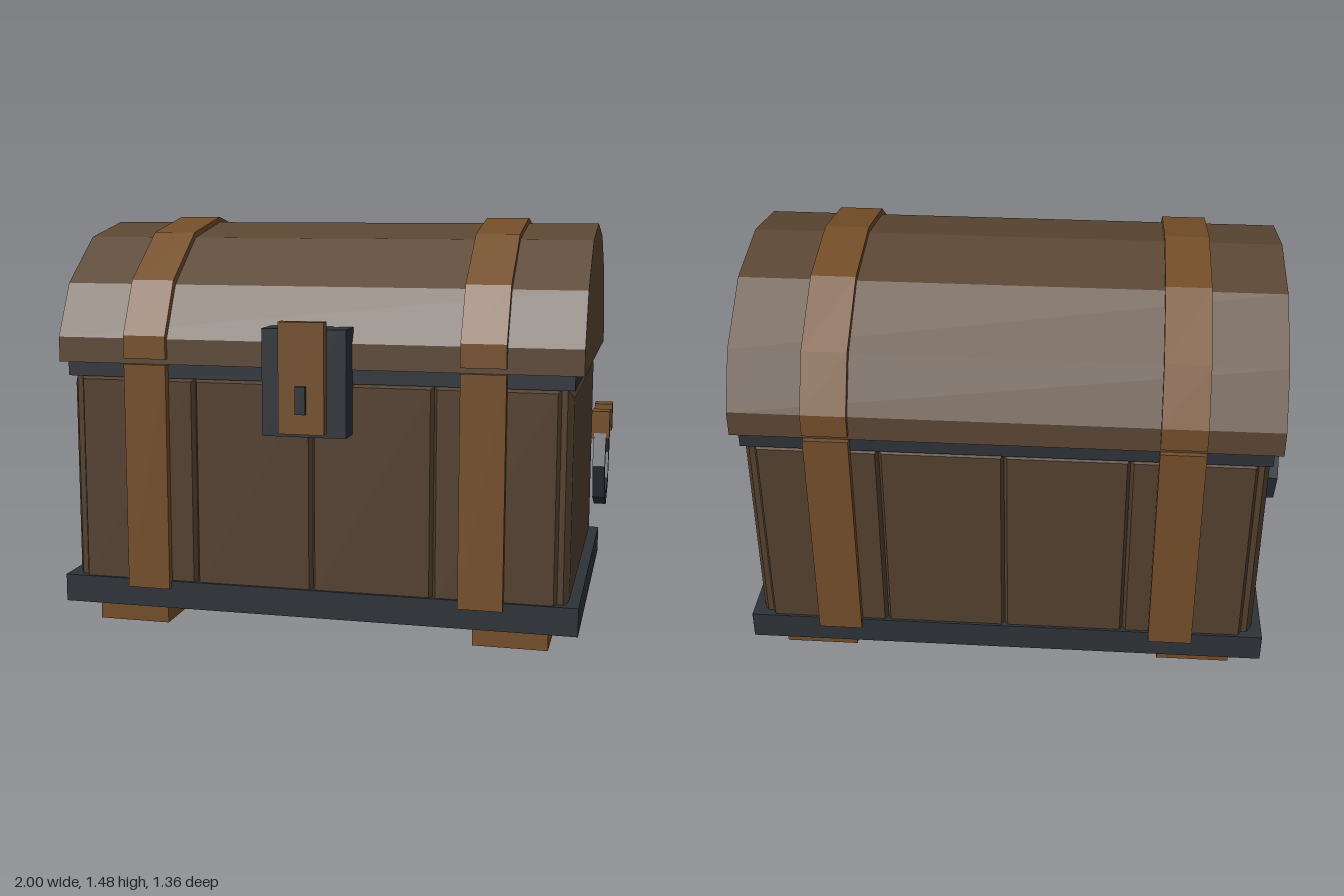
import * as THREE from 'three';

const mat = (color) => new THREE.MeshStandardMaterial({ color, flatShading: true });

export function createModel() {
  const root = new THREE.Group();
  root.name = 'chest';
  const chest = new THREE.Group();
  chest.name = 'chestBody';
  chest.position.z = -0.06; // the lock sticks out in front
  root.add(chest);

  const lidWood = mat(0x5a4633), wood = mat(0x523f2e), trim = mat(0x734d28), iron = mat(0x2d3238);

  const add = (name, geometry, material, x = 0, y = 0, z = 0, parent = chest) => {
    const mesh = new THREE.Mesh(geometry, material);
    mesh.name = name;
    mesh.position.set(x, y, z);
    parent.add(mesh);
    return mesh;
  };
  // Box given by its minimum and maximum corners
  const box = (name, material, [x0, y0, z0], [x1, y1, z1], parent) =>
    add(name, new THREE.BoxGeometry(x1 - x0, y1 - y0, z1 - z0), material,
      (x0 + x1) / 2, (y0 + y1) / 2, (z0 + z1) / 2, parent);

  // Board with chamfered edges, its front face at z = 0
  const board = (w, h, inset, chamfer) => {
    const a = w / 2 - inset, b = h / 2 - inset;
    const shape = new THREE.Shape([[-a, -b], [a, -b], [a, b], [-a, b]].map((p) => new THREE.Vector2(...p)));
    return new THREE.ExtrudeGeometry(shape, {
      depth: 0.02, bevelEnabled: true, bevelSegments: 1, bevelSize: inset, bevelThickness: chamfer,
    }).translate(0, 0, -0.02 - chamfer);
  };

  // Faceted arch, given as its right half, extruded along x
  const arch = (half, width) => {
    const pts = [...half, ...half.slice(0, -1).reverse().map(([z, y]) => [-z, y])];
    const shape = new THREE.Shape(pts.map((p) => new THREE.Vector2(...p)));
    return new THREE.ExtrudeGeometry(shape, { depth: width, bevelEnabled: false })
      .translate(0, 0, -width / 2).rotateY(Math.PI / 2);
  };

  // Base, rim and inner core
  box('base', iron, [-0.935, 0.08, -0.6], [0.935, 0.18, 0.6]);
  box('rim', iron, [-0.905, 0.92, -0.59], [0.905, 0.97, 0.59]);
  box('core', wood, [-0.865, 0.15, -0.57], [0.865, 0.92, 0.57]);

  // Front and back planks
  for (const side of [1, -1]) {
    for (let i = 0; i < 4; i++) {
      const plank = add('plank', board(0.43, 0.76, 0.011, 0.02), wood, (i - 1.5) * 0.43, 0.54, side * 0.59);
      if (side < 0) plank.rotation.y = Math.PI;
    }
  }

  // Domed lid
  add('lid', arch([[0.6, 0.97], [0.6, 1.06], [0.5, 1.247], [0.279, 1.408], [0, 1.46]], 1.87), lidWood);

  for (const side of [1, -1]) {
    // Straps over the lid and down the body
    add('lidStrap', arch([[0.62, 0.99], [0.62, 1.072], [0.522, 1.263], [0.289, 1.427], [0, 1.48]], 0.156),
      trim, side * 0.602);
    const x0 = side * 0.602 - 0.078, x1 = side * 0.602 + 0.078;
    box('frontStrap', trim, [x0, 0.155, 0.585], [x1, 0.97, 0.62]);
    box('backStrap', trim, [x0, 0.155, -0.62], [x1, 0.97, -0.585]);

    // Feet
    for (const end of [1, -1]) {
      add('foot', new THREE.BoxGeometry(0.265, 0.08, 0.24), trim, side * 0.697, 0.04, end * 0.41);
    }

    // End panel
    const panel = add('endPanel', board(1.14, 0.76, 0.032, 0.02), wood, side * 0.9, 0.54, 0);
    panel.rotation.y = side * Math.PI / 2;

    // Octagonal ring handle with two brackets
    const handle = new THREE.Group();
    handle.name = 'handle';
    chest.add(handle);
    const octagon = (r) => Array.from({ length: 8 }, (_, i) =>
      new THREE.Vector2(r * Math.cos(i * Math.PI / 4), r * Math.sin(i * Math.PI / 4)));
    const ringShape = new THREE.Shape(octagon(0.176));
    ringShape.holes.push(new THREE.Path(octagon(0.134)));
    const ring = new THREE.ExtrudeGeometry(ringShape, { depth: 0.044, bevelEnabled: false })
      .translate(0, 0, -0.022).rotateY(Math.PI / 2);
    add('ring', ring, iron, side * 0.967, 0.59, 0, handle);
    for (const end of [1, -1]) {
      add('ringBracket', new THREE.BoxGeometry(0.065, 0.1, 0.065), trim, side * 0.9675, 0.735, end * 0.096, handle);
    }
  }

  // Lock: plate, hasp and keyhole stud
  const lock = new THREE.Group();
  lock.name = 'lock';
  chest.add(lock);
  box('lockPlate', iron, [-0.148, 0.745, 0.575], [0.148, 1.115, 0.688], lock);
  box('hasp', trim, [-0.08, 0.76, 0.685], [0.08, 1.142, 0.725], lock);
  box('keyhole', iron, [-0.018, 0.83, 0.72], [0.018, 0.925, 0.74], lock);

  return root;
}
